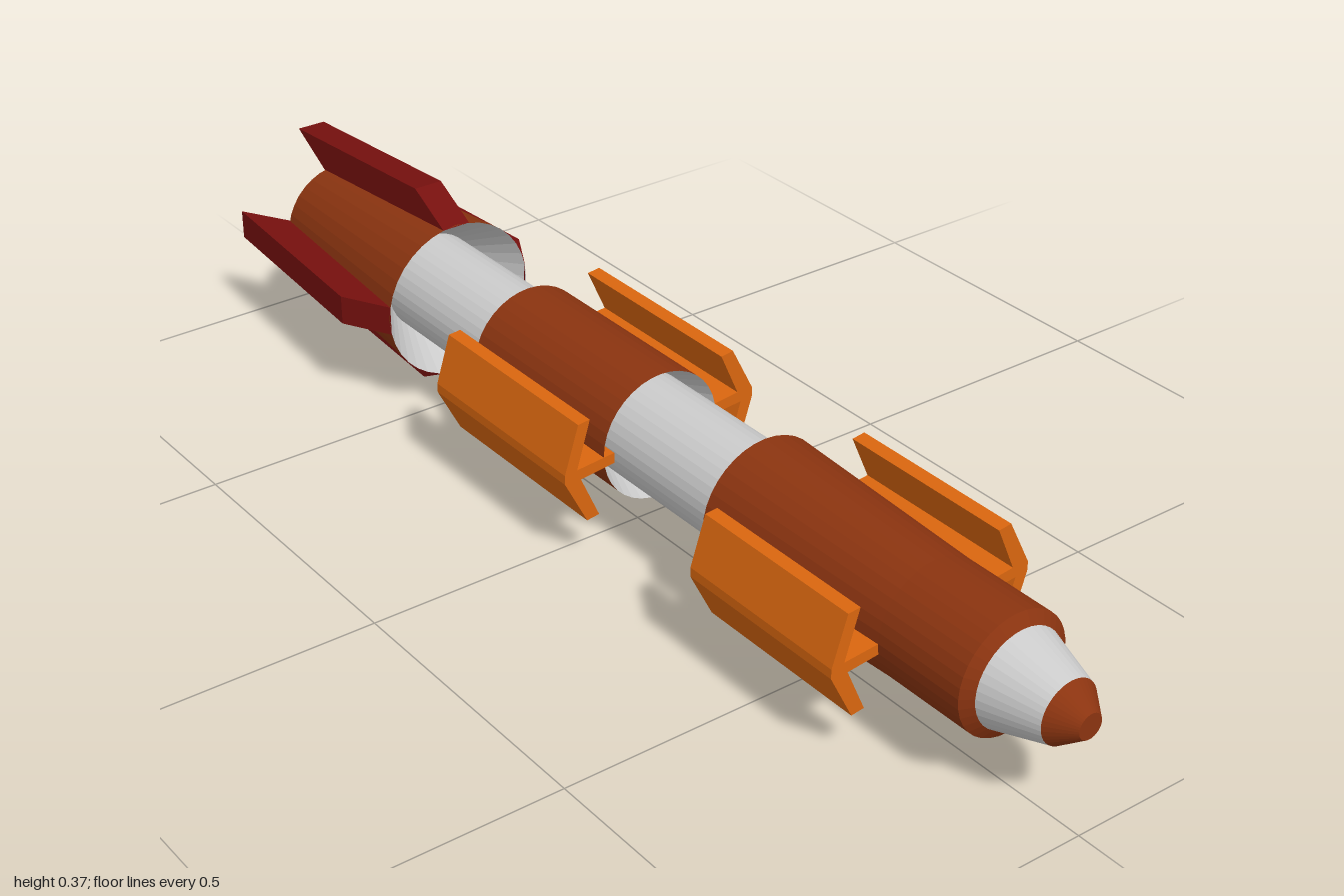
import * as THREE from 'three';

const material = (color) =>
  new THREE.MeshStandardMaterial({ color, flatShading: true, side: THREE.DoubleSide });

export function createModel() {
  const grey = material(0xcccccc);
  const rust = material(0x8b3410);
  const orange = material(0xd9660f);
  const red = material(0x76100e);

  const model = new THREE.Group();
  model.name = 'rocket';
  // Everything is laid out around the long axis, then lifted
  const body = new THREE.Group();
  body.name = 'body';
  body.position.y = 0.187;
  model.add(body);

  const add = (name, geometry, mat) => {
    const mesh = new THREE.Mesh(geometry, mat);
    mesh.name = name;
    body.add(mesh);
    return mesh;
  };

  // Round part from [radius, z] pairs, listed back to front
  const turned = (name, profile, mat) => {
    const points = profile.map(([r, z]) => new THREE.Vector2(r, z));
    return add(name, new THREE.LatheGeometry(points, 36).rotateX(Math.PI / 2), mat);
  };

  // Central shaft
  turned('shaft', [[0.088, -0.62], [0.088, 0.33]], grey);

  // Nose
  turned('noseTip', [[0.052, 0.96], [0.021, 1], [0, 1]], rust);
  turned('noseCone', [[0.081, 0.865], [0.052, 0.96]], grey);

  // Forward section, tapered behind and chamfered at the front
  turned('forwardSection',
    [[0.115, 0.315], [0.1, 0.69], [0.1, 0.852], [0.081, 0.865]], rust);
  turned('forwardSectionRearRing', [[0.088, 0.315], [0.115, 0.315]], grey);

  // Middle section with sunken grey ends
  turned('middleSection', [[0.11, -0.3], [0.11, 0.06]], rust);
  turned('middleRearFunnel', [[0.11, -0.3], [0.088, -0.25]], grey);
  turned('middleFrontFunnel', [[0.088, 0.01], [0.11, 0.06]], grey);

  // Tail section with a funnel in front and a sunken nozzle behind
  turned('tailSection', [[0.107, -0.91], [0.14, -0.515]], rust);
  turned('tailFunnel', [[0.088, -0.6], [0.14, -0.515]], grey);
  turned('nozzle', [[0, -0.86], [0.1, -0.86], [0.107, -0.91]], red);

  const extrude = (corners, depth) =>
    new THREE.ExtrudeGeometry(
      new THREE.Shape(corners.map(([x, y]) => new THREE.Vector2(x, y))),
      { depth, bevelEnabled: false });

  // Four swept tail fins, drawn as [z, radius]
  const finWidth = 0.052;
  const finProfile = [[-0.515, 0.138], [-0.6, 0.184], [-0.995, 0.155], [-0.91, 0.105]];
  for (let i = 0; i < 4; i++) {
    const geometry = extrude(finProfile, finWidth)
      .translate(0, 0, -finWidth / 2)
      .rotateY(-Math.PI / 2);
    add('tailFin', geometry, red).rotation.z = (i * Math.PI) / 2;
  }

  // Arrow-section side wings, two pairs turned half a circle apart
  const wingSection = [
    [0.143, 0.104], [0.184, 0.024], [0.184, 0.008], [0.158, -0.074], [0.136, -0.076],
    [0.161, 0.006], [0.09, 0.0], [0.09, 0.018], [0.154, 0.025], [0.12, 0.101],
  ];
  for (const [name, back, front] of [['forwardWing', 0.375, 0.69], ['middleWing', -0.3, 0.06]]) {
    for (const turn of [0, Math.PI]) {
      const geometry = extrude(wingSection, front - back).translate(0, 0, back);
      add(name, geometry, orange).rotation.z = turn;
    }
  }

  return model;
}
